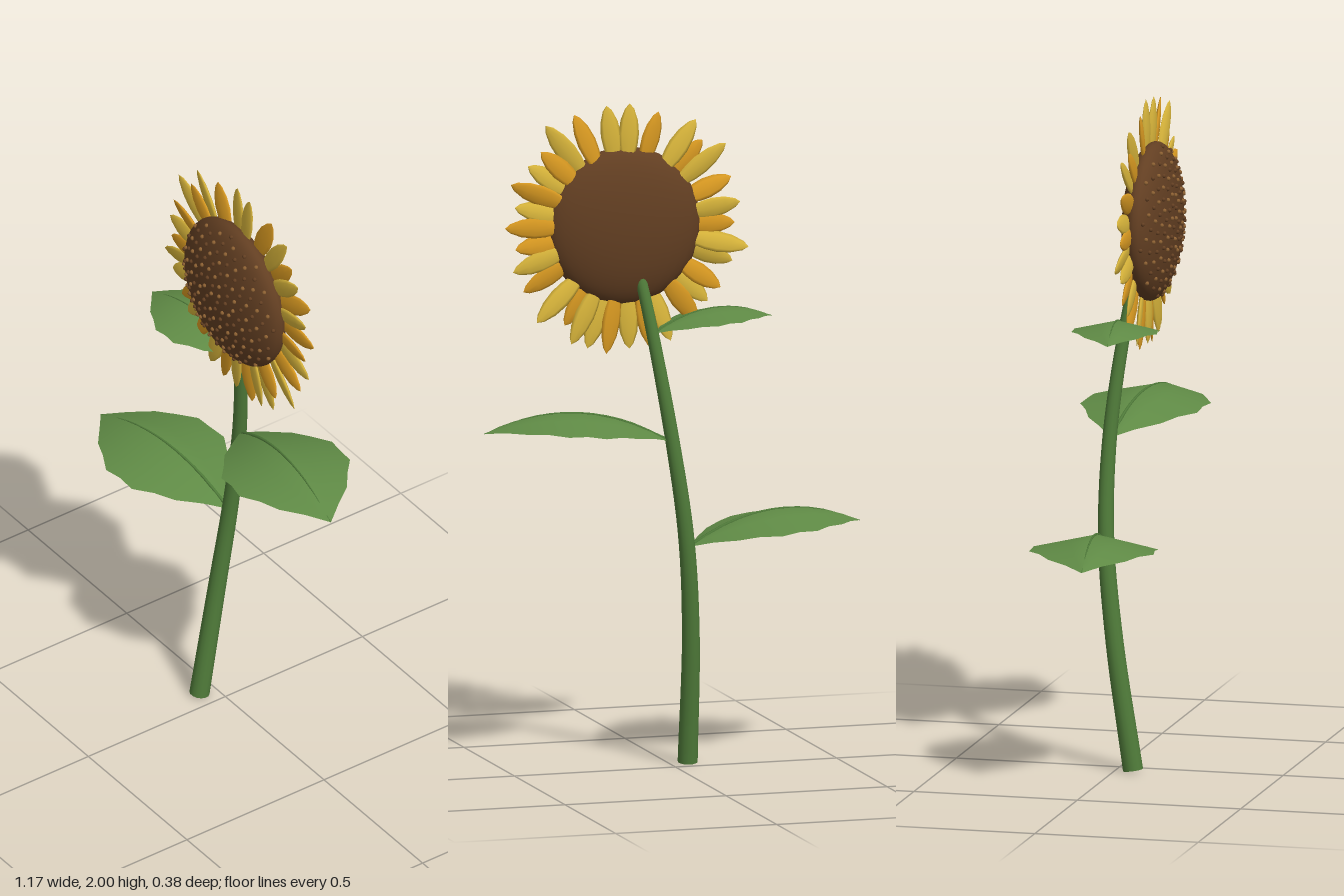
import * as THREE from 'three';

const mat = (name, color, side = THREE.FrontSide) => {
  const m = new THREE.MeshStandardMaterial({ color, side });
  m.name = name;
  return m;
};

const add = (parent, name, geometry, material) => {
  const mesh = new THREE.Mesh(geometry, material);
  mesh.name = name;
  parent.add(mesh);
  return mesh;
};

// Tube whose radius runs from r0 to r1 along the curve
function taperedTube(curve, segments, sides, r0, r1) {
  const g = new THREE.TubeGeometry(curve, segments, 1, sides);
  const p = g.attributes.position, v = new THREE.Vector3();
  for (let i = 0; i < p.count; i++) {
    const t = Math.floor(i / (sides + 1)) / segments;
    const c = curve.getPointAt(t);
    v.fromBufferAttribute(p, i).sub(c).multiplyScalar(r0 + (r1 - r0) * t).add(c);
    p.setXYZ(i, v.x, v.y, v.z);
  }
  return g;
}

// Unit leaf along +x: arched midrib, drooping sides, scalloped edge
const leafArch = t => 0.6 * t - 0.53 * t * t;
function leafGeometry() {
  const rows = 10, cols = 6, pos = [], idx = [];
  for (let i = 0; i <= rows; i++) {
    const t = i / rows;
    const w = 0.35 * Math.sin(Math.PI * t) * (i % 2 ? 0.93 : 1);
    for (let j = 0; j <= cols; j++) {
      const s = (j / cols) * 2 - 1;
      pos.push(t, leafArch(t) - 0.22 * Math.abs(s) * w, s * w);
      if (i < rows && j < cols) {
        const a = i * (cols + 1) + j, b = a + cols + 1;
        idx.push(a, a + 1, b, b, a + 1, b + 1);
      }
    }
  }
  const g = new THREE.BufferGeometry();
  g.setAttribute('position', new THREE.Float32BufferAttribute(pos, 3));
  g.setIndex(idx);
  g.computeVertexNormals();
  return g;
}

export function createModel() {
  const model = new THREE.Group();
  model.name = 'sunflower';
  const stemGreen = mat('stem green', 0x507c3a);
  const leafGreen = mat('leaf green', 0x5f8a45, THREE.DoubleSide);
  const yellow = mat('petal yellow', 0xdcb83c);
  const orange = mat('petal orange', 0xdc9c22);
  const brown = mat('disc brown', 0x633f22);
  const tan = mat('seed tan', 0x8c6032);

  // Stem, bending back and then forward into the head
  const path = new THREE.CatmullRomCurve3([
    [-0.055, 0.008, 0.055], [-0.046, 0.4, -0.005], [-0.022, 0.7, -0.036], [0.022, 1.0, -0.036],
    [0.07, 1.3, -0.005], [0.092, 1.43, 0.017], [0.108, 1.52, 0.04],
  ].map(p => new THREE.Vector3(...p)));
  add(model, 'stem', taperedTube(path, 32, 14, 0.03, 0.017), stemGreen);
  const base = add(model, 'stemBase', new THREE.CircleGeometry(0.03, 14), stemGreen);
  base.position.copy(path.getPointAt(0));
  base.quaternion.setFromUnitVectors(new THREE.Vector3(0, 0, 1), path.getTangentAt(0).negate());

  // Leaves: base point, length and heading about y
  const blade = leafGeometry();
  const ribPath = new THREE.CatmullRomCurve3(
    [0, 0.25, 0.5, 0.75, 1].map(t => new THREE.Vector3(t, leafArch(t), 0)));
  const rib = taperedTube(ribPath, 14, 6, 0.011, 0.002);
  const leaves = [
    ['lowerLeaf', [-0.028, 0.67, -0.035], 0.56, Math.PI + 0.125],
    ['middleLeaf', [0.028, 0.992, -0.035], 0.56, -0.125],
    ['upperLeaf', [0.07, 1.312, -0.005], 0.385, Math.PI + 0.125],
  ];
  for (const [name, position, size, heading] of leaves) {
    const leaf = new THREE.Group();
    leaf.name = name;
    add(leaf, 'leafBlade', blade, leafGreen);
    add(leaf, 'leafMidrib', rib, stemGreen);
    leaf.position.set(...position);
    leaf.rotation.y = heading;
    leaf.scale.setScalar(size);
    model.add(leaf);
  }

  // Flower head
  const head = new THREE.Group();
  head.name = 'flowerHead';
  head.position.set(0.14, 1.63, 0.065);
  model.add(head);
  const R = 0.237, depth = 0.074;
  const disc = add(head, 'seedDisc', new THREE.SphereGeometry(1, 32, 20), brown);
  disc.scale.set(R, R, depth);

  // Seeds in a sunflower spiral over the front of the disc
  const seed = new THREE.IcosahedronGeometry(0.0065, 1);
  const seeds = new THREE.Group();
  seeds.name = 'seeds';
  head.add(seeds);
  const count = 150;
  for (let i = 0; i < count; i++) {
    const r = 0.97 * Math.sqrt((i + 0.5) / count), a = i * 2.39996;
    const m = add(seeds, 'seed', seed, i % 2 ? tan : brown);
    m.position.set(R * r * Math.cos(a), R * r * Math.sin(a), depth * Math.sqrt(1 - r * r) + 0.001);
  }

  // Petals: pointed flattened lathe, placed by angle in degrees and tip radius
  const profile = [[0, 0], [0.55, 0.15], [0.9, 0.38], [1, 0.55], [0.85, 0.75], [0.45, 0.92], [0, 1]]
    .map(([x, y]) => new THREE.Vector2(x, y));
  const petal = new THREE.LatheGeometry(profile, 8);
  const petals = new THREE.Group();
  petals.name = 'petals';
  petals.position.z = -0.015;
  head.add(petals);
  const tips = [
    [2, 0.375], [12, 0.35], [22, 0.385], [33, 0.36], [42, 0.355], [52, 0.4], [65, 0.38], [81, 0.37],
    [92, 0.37], [107, 0.355], [125, 0.38], [134, 0.345], [143, 0.39], [158, 0.355], [171, 0.36],
    [181, 0.34], [192, 0.39], [200, 0.355], [214, 0.355], [223, 0.35], [233, 0.375], [248, 0.38],
    [257, 0.385], [268, 0.37], [279, 0.385], [288, 0.38], [296, 0.385], [303, 0.345], [315, 0.39],
    [330, 0.365], [341, 0.37], [351, 0.345],
  ];
  const inner = 0.17;
  tips.forEach(([deg, tip], i) => {
    const arm = new THREE.Group();
    arm.name = 'petal';
    arm.rotation.z = THREE.MathUtils.degToRad(deg - 90);
    const m = add(arm, 'petalBlade', petal, (i * 5) % 9 < 4 ? orange : yellow);
    m.position.set(0, inner, i % 2 ? 0.003 : -0.003);
    m.rotation.y = 0.22 * Math.sin(i * 2.3);
    m.scale.set(0.031, tip - inner, 0.008);
    petals.add(arm);
  });
  return model;
}
